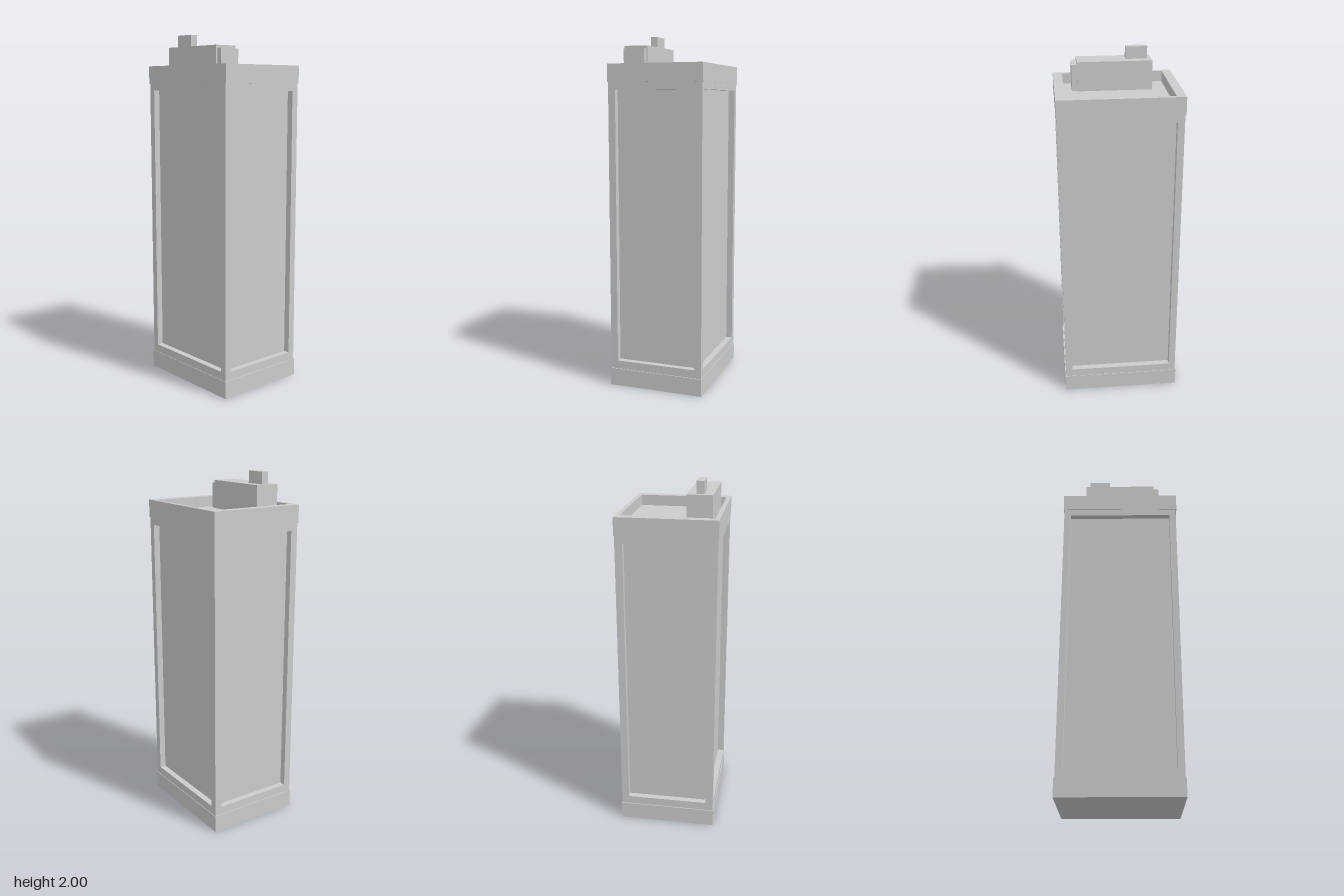
import * as THREE from 'three';

const material = new THREE.MeshStandardMaterial({ color: 0xcccccc, flatShading: true });

function add(group, name, geometry) {
  const mesh = new THREE.Mesh(geometry, material);
  mesh.name = name;
  group.add(mesh);
  return mesh;
}

// Box given by its limits on each axis
function addBox(group, name, [x0, x1], [y0, y1], [z0, z1]) {
  const mesh = add(group, name, new THREE.BoxGeometry(x1 - x0, y1 - y0, z1 - z0));
  mesh.position.set((x0 + x1) / 2, (y0 + y1) / 2, (z0 + z1) / 2);
  return mesh;
}

function rectangle(target, x0, x1, y0, y1) {
  target.moveTo(x0, y0).lineTo(x1, y0).lineTo(x1, y1).lineTo(x0, y1).closePath();
  return target;
}

// Rectangular frame with an opening; each rectangle is [x0, x1, y0, y1]
function frameGeometry(outer, inner, depth) {
  const shape = rectangle(new THREE.Shape(), ...outer);
  shape.holes.push(rectangle(new THREE.Path(), ...inner));
  return new THREE.ExtrudeGeometry(shape, { depth, bevelEnabled: false });
}

export function createModel() {
  const model = new THREE.Group();
  model.name = 'tower';

  const bandX = 0.338, bandZ = 0.275;      // half sizes of base and parapet
  const bodyX = 0.333, bodyZ = 0.272;      // half sizes of the shaft
  const low = 0.1, high = 1.73, roof = 1.77, rim = 1.83;
  const recess = 0.036;

  // Base and recessed wall panels
  addBox(model, 'base', [-bandX, bandX], [0, low], [-bandZ, bandZ]);
  addBox(model, 'wallPanels', [recess - bodyX, bodyX - recess], [low, high], [recess - bodyZ, bodyZ - recess]);

  // Raised frames around the panels on all four sides
  const wide = frameGeometry([-bodyX, bodyX, low, high], [-0.295, 0.295, 0.147, 1.69], recess);
  const sideHalf = bodyZ - recess;
  const narrow = frameGeometry([-sideHalf, sideHalf, low, high], [-0.231, 0.231, 0.147, 1.69], recess);
  for (const side of [1, -1]) {
    const face = add(model, side > 0 ? 'frontFrame' : 'backFrame', wide);
    face.rotation.y = side > 0 ? 0 : Math.PI;
    face.position.z = side * (bodyZ - recess);
    const flank = add(model, side > 0 ? 'leftFrame' : 'rightFrame', narrow);
    flank.rotation.y = side * Math.PI / 2;
    flank.position.x = side * (bodyX - recess);
  }

  // Roof slab with a parapet around it
  addBox(model, 'roofSlab', [-bandX, bandX], [high, roof], [-bandZ, bandZ]);
  const parapet = add(model, 'parapet',
    frameGeometry([-bandX, bandX, -bandZ, bandZ], [-0.287, 0.287, -0.251, 0.251], rim - roof));
  parapet.rotation.x = -Math.PI / 2;
  parapet.position.y = roof;

  // Rooftop housing
  addBox(model, 'roofHousing', [-0.208, 0.207], [roof, 1.932], [0.088, 0.227]);
  addBox(model, 'housingAnnex', [0.207, 0.237], [roof, 1.915], [0.096, 0.219]);
  addBox(model, 'roofVent', [-0.185, -0.065], [1.932, 2], [0.137, 0.178]);

  return model;
}
